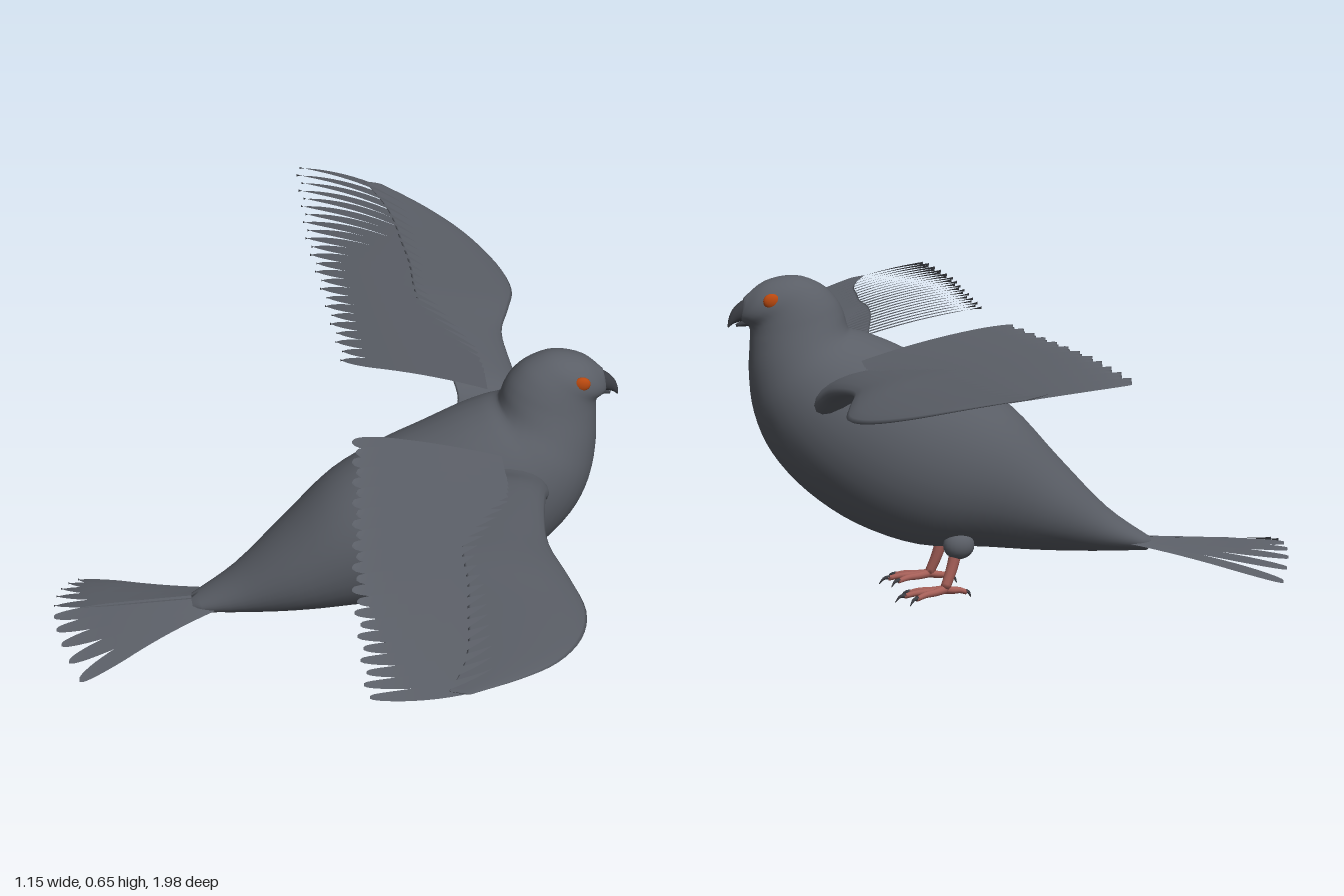
import * as THREE from 'three';
import { mergeGeometries } from 'three/addons/utils/BufferGeometryUtils.js';

const V = (x, y, z = 0) => new THREE.Vector3(x, y, z);

function makeGeometry(pos, index) {
  const g = new THREE.BufferGeometry();
  g.setAttribute('position', new THREE.Float32BufferAttribute(pos, 3));
  g.setIndex(index);
  g.computeVertexNormals();
  return g;
}

// Skin a list of closed rings, capping both ends
function skin(rings) {
  const n = rings[0].length, pos = [], index = [];
  rings.forEach(r => r.forEach(p => pos.push(p.x, p.y, p.z)));
  for (let i = 0; i < rings.length - 1; i++)
    for (let j = 0; j < n; j++) {
      const k = (j + 1) % n, a = i * n + j, b = i * n + k;
      index.push(a, b, a + n, b, b + n, a + n);
    }
  const last = (rings.length - 1) * n;
  for (let j = 1; j < n - 1; j++) {
    index.push(0, j + 1, j);
    index.push(last, last + j, last + j + 1);
  }
  return makeGeometry(pos, index);
}

const ring = (n, fn) => Array.from({ length: n }, (_, j) => fn(j / n * Math.PI * 2));

// Smoothly resample a table of numeric rows
function smoothRows(rows, steps) {
  const out = [], at = i => rows[Math.min(rows.length - 1, Math.max(0, i))];
  for (let i = 0; i < rows.length - 1; i++)
    for (let s = 0; s < steps; s++) {
      const t = s / steps;
      out.push(rows[i].map((p1, c) => {
        const p0 = at(i - 1)[c], p2 = at(i + 1)[c], p3 = at(i + 2)[c];
        return p1 + 0.5 * t * (p2 - p0 + t * (2 * p0 - 5 * p1 + 4 * p2 - p3 + t * (3 * (p1 - p2) + p3 - p0)));
      }));
    }
  out.push(rows[rows.length - 1]);
  return out;
}

// Loft through rows of [topX, topY, bottomX, bottomY, halfWidth]
function loft(rows, sides = 32, steps = 4) {
  return skin(smoothRows(rows, steps).map(([tx, ty, bx, by, w]) => ring(sides, a => V(
    (tx + bx) / 2 + (tx - bx) / 2 * Math.cos(a),
    (ty + by) / 2 + (ty - by) / 2 * Math.cos(a),
    w * Math.sin(a)))));
}

// Round limb tapering along a curve
function limb(points, r0, r1, steps = 10, sides = 10) {
  const c = new THREE.CatmullRomCurve3(points), f = c.computeFrenetFrames(steps);
  return skin(Array.from({ length: steps + 1 }, (_, i) => {
    const r = r0 + (r1 - r0) * i / steps, p = c.getPointAt(i / steps);
    return ring(sides, a => p.clone()
      .addScaledVector(f.normals[i], r * Math.cos(a))
      .addScaledVector(f.binormals[i], r * Math.sin(a)));
  }));
}

// Flat feather along a curved quill, tilted so that neighbours overlap like shingles
function feather(a, b, c, width, taper, baseWidth, height, tilt) {
  const curve = new THREE.QuadraticBezierCurve3(a, b, c), n = 18, pos = [], index = [];
  for (let i = 0; i <= n; i++) {
    const t = 1 - (1 - i / n) ** 1.5, p = curve.getPoint(t), d = curve.getTangent(t);
    const side = V(-d.z, 0, d.x).normalize();
    const e = Math.max(0, (t - taper) / (1 - taper));
    const w = width * (baseWidth + (1 - baseWidth) * Math.min(1, t * 1.4)) * Math.sqrt(Math.max(0, 1 - e * e));
    for (const s of [-1, 0, 1]) {
      const x = p.x + side.x * w * s, z = p.z + side.z * w * s;
      pos.push(x, height(x, p.y) + tilt * s, z);
    }
    if (i) for (const k of [0, 1]) {
      const q = (i - 1) * 3 + k;
      index.push(q, q + 1, q + 3, q + 1, q + 4, q + 3);
    }
  }
  return makeGeometry(pos, index);
}

function mirrored(g) {
  const m = g.clone().scale(1, 1, -1), idx = m.index.array;
  for (let i = 0; i < idx.length; i += 3) [idx[i], idx[i + 1]] = [idx[i + 1], idx[i]];
  m.computeVertexNormals();
  return m;
}

export function createModel() {
  const group = new THREE.Group();
  const material = (name, color, side = THREE.FrontSide) => {
    const m = new THREE.MeshStandardMaterial({ color, side });
    m.name = name;
    return m;
  };
  const slate = material('slate plumage', 0x5a5e66, THREE.DoubleSide);
  const dark = material('dark beak', 0x3c3e44);
  const orange = material('orange eye', 0xb8480f);
  const pink = material('pink leg', 0xa55f58);
  const add = (name, g, m) => {
    const mesh = new THREE.Mesh(g, m);
    mesh.name = name;
    group.add(mesh);
  };
  const addPair = (name, g, m) => {
    add(name + 'Right', mirrored(g), m);
    add(name + 'Left', g, m);
  };

  // Body, neck and head in one skin
  add('body', loft([
    [-0.29, 0.1, -0.28, 0.072, 0.03], [-0.2, 0.165, -0.17, 0.075, 0.065],
    [-0.1, 0.27, -0.05, 0.083, 0.108], [0, 0.38, 0.07, 0.095, 0.135],
    [0.1, 0.445, 0.2, 0.105, 0.152], [0.18, 0.485, 0.32, 0.15, 0.156],
    [0.25, 0.52, 0.42, 0.22, 0.153], [0.3, 0.54, 0.49, 0.3, 0.14],
    [0.33, 0.548, 0.525, 0.38, 0.122], [0.338, 0.56, 0.535, 0.46, 0.1],
    [0.345, 0.585, 0.533, 0.52, 0.083], [0.36, 0.612, 0.532, 0.545, 0.074],
    [0.39, 0.64, 0.535, 0.558, 0.065], [0.44, 0.658, 0.545, 0.565, 0.055],
    [0.5, 0.648, 0.55, 0.57, 0.038], [0.543, 0.616, 0.553, 0.575, 0.014],
  ]), slate);

  // Hooked beak
  add('upperBeak', loft([
    [0.53, 0.618, 0.53, 0.57, 0.02], [0.55, 0.608, 0.55, 0.568, 0.015],
    [0.567, 0.592, 0.558, 0.566, 0.01], [0.575, 0.573, 0.566, 0.563, 0.006],
    [0.577, 0.557, 0.575, 0.556, 0.001],
  ], 16, 3), dark);
  add('lowerBeak', limb([V(0.525, 0.568), V(0.545, 0.564), V(0.56, 0.56)], 0.011, 0.003), dark);

  // Eyes
  addPair('eye', new THREE.SphereGeometry(0.017, 20, 14).scale(1, 0.9, 0.5).translate(0.495, 0.612, 0.05), orange);

  // Wings: a rounded arm with coverts, then the flight feathers
  const wingY = x => 0.567 - 0.1 * x - 0.35 * x * x;
  // rows: z, leading x, rear x, half thickness, drop
  const arm = smoothRows([
    [0.08, 0.42, 0.25, 0.05, 0.06], [0.14, 0.425, 0.27, 0.045, 0.045],
    [0.2, 0.41, 0.26, 0.031, 0.022], [0.3, 0.395, 0.24, 0.022, 0.01],
    [0.4, 0.39, 0.22, 0.018, 0.004], [0.5, 0.415, 0.21, 0.018, 0],
    [0.6, 0.435, 0.21, 0.016, 0], [0.7, 0.413, 0.2, 0.013, 0],
    [0.8, 0.355, 0.19, 0.009, 0], [0.88, 0.275, 0.17, 0.005, 0],
    [0.95, 0.18, 0.14, 0.002, 0],
  ], 4).map(([z, lead, rear, thick, drop]) => ring(20, a => {
    const p = (1 + Math.cos(a)) / 2, x = rear + (lead - rear) * p;
    return V(x, wingY(x) - drop + thick * Math.sin(a) * (0.15 + 0.85 * p), z);
  }));
  addPair('wingArm', skin(arm), slate);

  const flight = [], count = 24;
  for (let i = 0; i < count; i++) {
    const s = i / (count - 1), o = Math.max(0, (s - 0.5) * 2);
    const tipZ = 0.155 + 0.83 * s, baseZ = 0.15 + 0.62 * s;
    flight.push(feather(
      V(0.33, 0, baseZ),
      V(0.2, 0, tipZ - 0.02 * s),
      V(0.03 - 0.04 * Math.min(1, s * 1.6) + 0.008 * (i % 2), 0, tipZ),
      0.024 - 0.007 * o, 0.78 - 0.28 * o, 1, wingY, 0.003));
  }
  addPair('flightFeathers', mergeGeometries(flight), slate);

  // Fanned tail, drooping toward the outer feathers
  const tail = [];
  for (let i = 0; i < 10; i++) {
    const u = (i - 4.5) / 4.5, q = u * u;
    tail.push(feather(
      V(-0.22, 0.1, u * 0.025),
      V(-0.38, 0.092 - 0.022 * q, u * 0.075),
      V(-0.575 + 0.05 * q, 0.078 - 0.048 * q, u * 0.18),
      0.019, 0.7, 0.45, (x, y) => y, 0.003 * Math.sign(u)));
  }
  add('tailFeathers', mergeGeometries(tail), slate);

  // Thighs, legs, toes and claws
  addPair('thigh', new THREE.SphereGeometry(0.032, 20, 14).scale(1, 0.9, 0.8).translate(0.125, 0.112, 0.075), slate);
  const foot = [limb([V(0.128, 0.11, 0.073), V(0.14, 0.065, 0.078), V(0.155, 0.026, 0.084)], 0.013, 0.01)];
  const claws = [];
  for (const [dx, dz] of [[0.085, 0.008], [0.066, 0.042], [0.07, -0.026], [-0.045, -0.008]]) {
    const at = (t, y) => V(0.155 + dx * t, y, 0.084 + dz * t);
    foot.push(limb([at(0, 0.024), at(0.35, 0.021), at(0.7, 0.02), at(1, 0.015)], 0.009, 0.005));
    claws.push(limb([at(0.96, 0.017), at(1.1, 0.015), at(1.22, 0.004)], 0.005, 0.0008, 6, 8));
  }
  addPair('leg', mergeGeometries(foot), pink);
  addPair('claws', mergeGeometries(claws), dark);

  return group;
}
